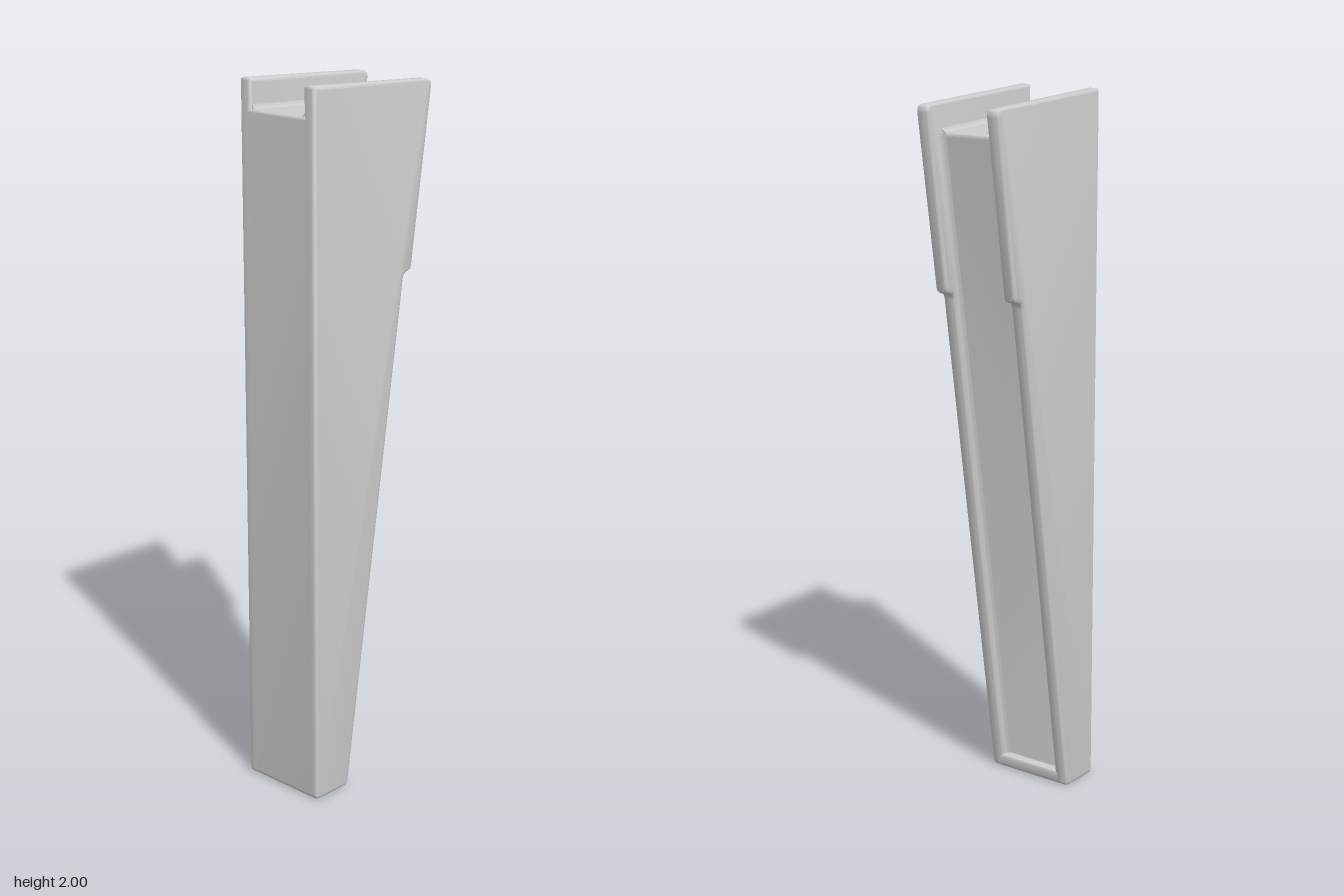
import * as THREE from 'three';
import { toCreasedNormals } from 'three/addons/utils/BufferGeometryUtils.js';

const material = new THREE.MeshStandardMaterial({ color: 0xcccccc });

// Closed outline from [x, y, cornerRadius] points
function roundedShape(points) {
  const shape = new THREE.Shape();
  const n = points.length;
  points.forEach(([x, y, r], i) => {
    const corner = new THREE.Vector2(x, y);
    const towards = ([px, py]) =>
      new THREE.Vector2(px, py).sub(corner).setLength(r).add(corner);
    const a = towards(points[(i + n - 1) % n]);
    const b = towards(points[(i + 1) % n]);
    if (i === 0) shape.moveTo(a.x, a.y);
    else shape.lineTo(a.x, a.y);
    if (r > 0) shape.quadraticCurveTo(x, y, b.x, b.y);
  });
  shape.closePath();
  return shape;
}

function addMesh(parent, name, geometry) {
  const mesh = new THREE.Mesh(toCreasedNormals(geometry, 0.7), material);
  mesh.name = name;
  parent.add(mesh);
  return mesh;
}

// Concave fillet along a straight corner between the core and a side plate
function filletGeometry(from, to, outward, side, r) {
  const shape = new THREE.Shape();
  shape.moveTo(0, 0);
  shape.lineTo(r, 0);
  shape.quadraticCurveTo(r * 0.2, r * 0.2, 0, r);
  shape.closePath();
  const dir = new THREE.Vector3().subVectors(to, from);
  const geometry = new THREE.ExtrudeGeometry(shape, {
    depth: dir.length(), bevelEnabled: false, curveSegments: 5,
  });
  dir.normalize();
  const inward = new THREE.Vector3(0, 0, -side);
  const rightHanded = new THREE.Vector3().crossVectors(outward, inward).dot(dir) > 0;
  const basis = new THREE.Matrix4().makeBasis(
    rightHanded ? outward : inward, rightHanded ? inward : outward, dir);
  basis.setPosition(from);
  return geometry.applyMatrix4(basis);
}

export function createModel() {
  const group = new THREE.Group();
  group.name = 'taperedChannel';

  // Side plates: tapered, stepped outline with softened edges
  const plateShape = roundedShape([
    [-0.23, 0, 0.012], [-0.1, 0, 0.015], [0.12, 1.46, 0.015], [0.15, 1.468, 0.012],
    [0.227, 1.975, 0.022], [-0.23, 2, 0.008],
  ]);
  const bevel = 0.011, inner = 0.095, outer = 0.135;
  for (const side of [-1, 1]) {
    const geometry = new THREE.ExtrudeGeometry(plateShape, {
      depth: outer - inner - 2 * bevel, curveSegments: 5,
      bevelSize: bevel, bevelOffset: -bevel, bevelThickness: bevel, bevelSegments: 4,
    });
    geometry.translate(0, 0, side > 0 ? inner + bevel : -outer + bevel);
    addMesh(group, side > 0 ? 'frontPlate' : 'backPlate', geometry);
  }

  // Core between the plates, with a small lip at the foot
  const coreShape = roundedShape([
    [-0.23, 0, 0.012], [-0.1, 0, 0.015], [-0.094, 0.04, 0.006], [-0.117, 0.043, 0.004],
    [0.163, 1.9, 0.012], [-0.23, 1.92, 0.008],
  ]);
  const core = new THREE.ExtrudeGeometry(coreShape, {
    depth: 0.222, bevelEnabled: false, curveSegments: 5,
  });
  core.translate(0, 0, -0.111);
  addMesh(group, 'core', core);

  // Fillets where the core meets the plates
  const slope = new THREE.Vector3(1857, -280, 0).normalize();
  const topNormal = new THREE.Vector3(20, 393, 0).normalize();
  for (const side of [-1, 1]) {
    const z = side * inner;
    const foot = new THREE.Vector3(-0.117, 0.043, z);
    const head = new THREE.Vector3(0.163, 1.9, z);
    const rear = new THREE.Vector3(-0.224, 1.92, z);
    addMesh(group, 'slopeFillet', filletGeometry(foot, head, slope, side, 0.012));
    addMesh(group, 'topFillet', filletGeometry(rear, head, topNormal, side, 0.012));
  }
  return group;
}
